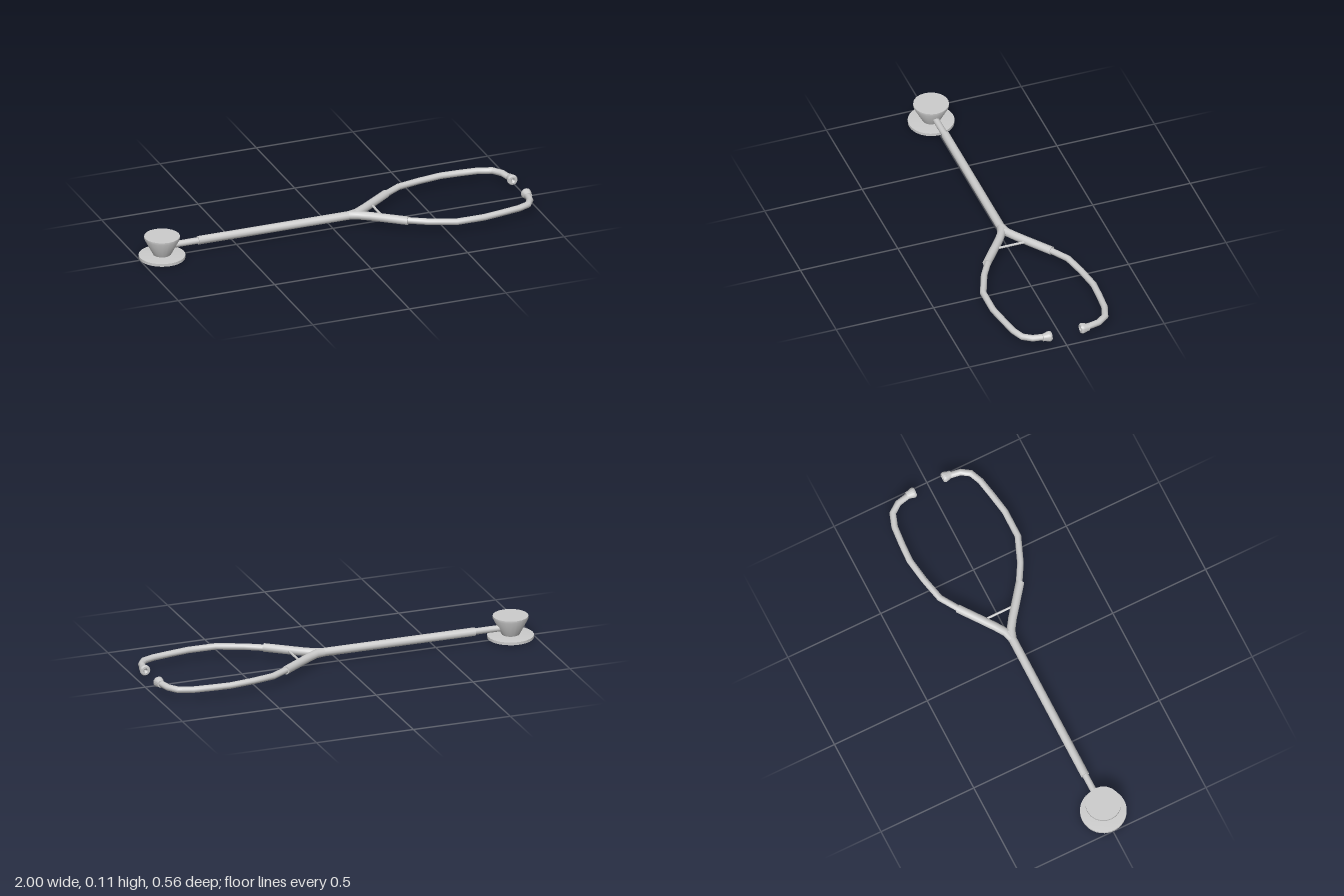
import * as THREE from 'three';
import { mergeVertices, toCreasedNormals } from 'three/addons/utils/BufferGeometryUtils.js';

const AXIS_Y = 0.055;
const material = new THREE.MeshStandardMaterial({ color: 0xcccccc, side: THREE.DoubleSide });

function part(name, geometry) {
  const mesh = new THREE.Mesh(toCreasedNormals(geometry, 0.7), material);
  mesh.name = name;
  return mesh;
}

// Mitred round tube along a flat path of [x, z] points, capped at both ends
function sweep(path, radius, sides = 12) {
  const pts = path.map(([x, z]) => new THREE.Vector2(x, z));
  const positions = [];
  const indices = [];
  const last = pts.length - 1;
  pts.forEach((p, i) => {
    const before = pts[Math.max(i, 1)].clone().sub(pts[Math.max(i, 1) - 1]).normalize();
    const next = Math.min(i, last - 1);
    const after = pts[next + 1].clone().sub(pts[next]).normalize();
    const dir = before.clone().add(after).normalize();
    const width = radius / dir.dot(before);
    for (let s = 0; s < sides; s++) {
      const a = (s / sides) * Math.PI * 2;
      const c = Math.cos(a) * width;
      positions.push(p.x - dir.y * c, AXIS_Y + Math.sin(a) * radius, p.y + dir.x * c);
    }
  });
  for (let i = 0; i < last; i++) {
    for (let s = 0; s < sides; s++) {
      const a = i * sides + s;
      const b = i * sides + (s + 1) % sides;
      indices.push(a, b, a + sides, b, b + sides, a + sides);
    }
  }
  for (let s = 1; s < sides - 1; s++) {
    const e = last * sides;
    indices.push(0, s + 1, s, e, e + s, e + s + 1);
  }
  const geometry = new THREE.BufferGeometry();
  geometry.setAttribute('position', new THREE.Float32BufferAttribute(positions, 3));
  geometry.setIndex(indices);
  geometry.computeVertexNormals();
  return geometry;
}

function lathe(profile, sides) {
  const g = new THREE.LatheGeometry(profile.map(([r, y]) => new THREE.Vector2(r, y)), sides);
  g.deleteAttribute('uv');
  g.deleteAttribute('normal');
  const merged = mergeVertices(g);
  merged.computeVertexNormals();
  return merged;
}

export function createModel() {
  const model = new THREE.Group();
  model.name = 'stethoscope';

  // Chest piece: flat diaphragm below, flared bell above
  const chestPiece = new THREE.Group();
  chestPiece.name = 'chestPiece';
  chestPiece.position.set(-0.887, 0, 0.004);
  chestPiece.add(
    part('diaphragm', lathe([[0, 0], [0.113, 0], [0.113, 0.014], [0.09, 0.016], [0, 0.019]], 32)),
    part('bell', lathe([[0, 0.016], [0.043, 0.016], [0.087, 0.1], [0.087, 0.112], [0, 0.112]], 20))
  );
  model.add(chestPiece);

  // Stem and main hose
  model.add(part('stem', sweep([[-0.88, 0.002], [-0.68, 0]], 0.016)));
  model.add(part('mainTube', sweep([[-0.7, 0], [0.12, 0]], 0.021)));

  // The two arms differ slightly in their bends
  const arms = [
    {
      side: 'back', sign: -1,
      sleeve: [[0.08, 0], [0.125, -0.012], [0.175, -0.045], [0.23, -0.085], [0.338, -0.165]],
      pipe: [[0.31, -0.145], [0.425, -0.218], [0.54, -0.244], [0.66, -0.262], [0.75, -0.258],
        [0.847, -0.25], [0.915, -0.227], [0.95, -0.18], [0.965, -0.11]],
      tip: [0.966, -0.08]
    },
    {
      side: 'front', sign: 1,
      sleeve: [[0.08, 0], [0.125, 0.014], [0.175, 0.047], [0.23, 0.09], [0.325, 0.163]],
      pipe: [[0.3, 0.144], [0.41, 0.208], [0.54, 0.26], [0.68, 0.261], [0.78, 0.244],
        [0.874, 0.226], [0.93, 0.202], [0.958, 0.16], [0.968, 0.095]],
      tip: [0.97, 0.068]
    }
  ];

  for (const { side, sign, sleeve, pipe, tip } of arms) {
    model.add(part(side + 'Sleeve', sweep(sleeve, 0.021)));
    model.add(part(side + 'EarPipe', sweep(pipe, 0.016)));

    // Ear tip with a small recessed opening, facing the other arm
    const earTip = part(side + 'EarTip', lathe([
      [0, 0.02], [0.008, 0.005], [0.012, 0], [0.022, 0.001], [0.026, 0.008],
      [0.025, 0.018], [0.02, 0.034], [0.018, 0.046], [0, 0.046]
    ].reverse(), 16));
    earTip.position.set(tip[0], AXIS_Y, tip[1]);
    earTip.rotation.x = sign * Math.PI / 2;
    model.add(earTip);
  }

  // Spreader bar between the arms
  model.add(part('spreaderBar', sweep([[0.23, -0.08], [0.23, 0.08]], 0.006, 8)));

  return model;
}
